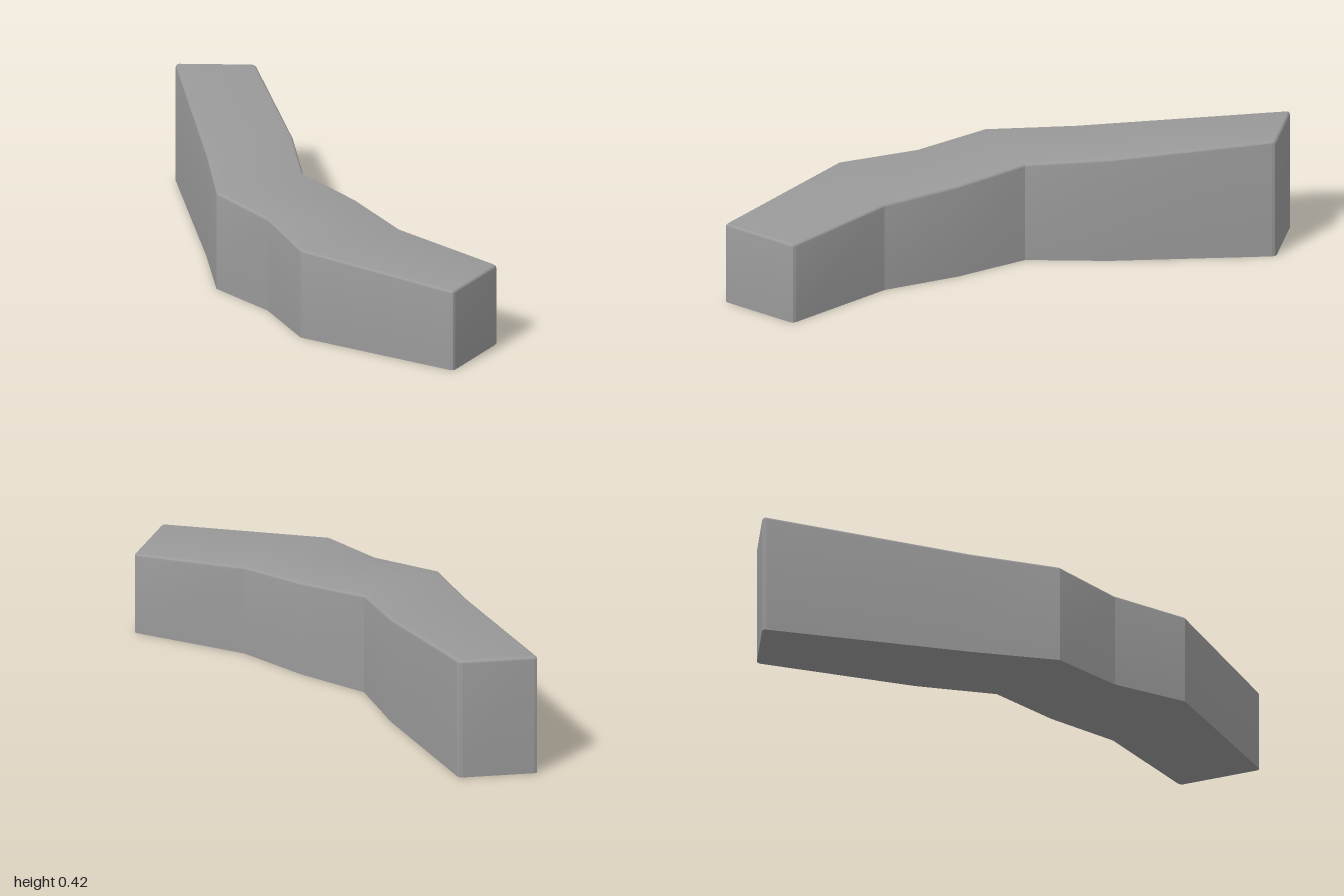
import * as THREE from 'three';
import { toCreasedNormals } from 'three/addons/utils/BufferGeometryUtils.js';

// Plan corners [x, z, top height]: left side back to front, then right side front to back
const PLAN = [
  [0.1, -1.004, 0.42], [-0.19, -0.34, 0.365], [-0.322, -0.065, 0.347],
  [-0.283, 0.2, 0.331], [-0.322, 0.47, 0.315], [-0.05, 1.004, 0.285],
  [0.212, 0.865, 0.285], [0.072, 0.47, 0.312], [0.064, 0.2, 0.331],
  [0.022, -0.065, 0.35], [0.14, -0.32, 0.371], [0.325, -0.853, 0.42],
];
const END_CORNERS = [0, 5, 6, 11];
const BEVEL = 0.012, TRIM = 0.014, STEPS = 4;

// Round the four vertical edges at the ends of the wall
function roundedPlan() {
  const points = [];
  PLAN.forEach(([x, z, h], i) => {
    const p = new THREE.Vector2(x, z);
    if (!END_CORNERS.includes(i)) return points.push({ p, h });
    const toward = (j) => {
      const [qx, qz] = PLAN[(j + PLAN.length) % PLAN.length];
      return new THREE.Vector2(qx, qz).sub(p).setLength(TRIM).add(p);
    };
    const arc = new THREE.QuadraticBezierCurve(toward(i - 1), p, toward(i + 1));
    arc.getPoints(2).forEach((q) => points.push({ p: q, h }));
  });
  return points;
}

function wallGeometry() {
  const plan = roundedPlan(), n = plan.length;
  const edgeNormal = (a, b) => new THREE.Vector2(a.y - b.y, b.x - a.x).normalize();
  const miters = plan.map(({ p }, i) => {
    const n1 = edgeNormal(plan[(i + n - 1) % n].p, p);
    const n2 = edgeNormal(p, plan[(i + 1) % n].p);
    const m = n1.clone().add(n2).normalize();
    return m.divideScalar(m.dot(n1));
  });

  const positions = [], index = [];
  const addRing = (inset, height) => plan.forEach(({ p, h }, i) =>
    positions.push(p.x - miters[i].x * inset, height(h), p.y - miters[i].y * inset));

  // Sharp base ring, then a quarter-round bevel up to the top
  addRing(0, () => 0);
  for (let s = 0; s <= STEPS; s++) {
    const a = (s / STEPS) * Math.PI / 2;
    addRing(BEVEL * (1 - Math.cos(a)), (h) => h - BEVEL * (1 - Math.sin(a)));
  }
  const quad = (a, b, c, d) => index.push(a, b, c, a, c, d);
  for (let r = 0; r <= STEPS; r++) {
    for (let i = 0; i < n; i++) {
      const j = (i + 1) % n;
      quad(r * n + i, r * n + j, (r + 1) * n + j, (r + 1) * n + i);
    }
  }
  // Top and underside as strips across the two long sides
  const top = (STEPS + 1) * n;
  for (let i = 0; i < n / 2 - 1; i++) {
    const k = n - 1 - i;
    quad(top + i, top + i + 1, top + k - 1, top + k);
    quad(k, k - 1, i + 1, i);
  }
  const geometry = new THREE.BufferGeometry();
  geometry.setAttribute('position', new THREE.Float32BufferAttribute(positions, 3));
  geometry.setIndex(index);
  return toCreasedNormals(geometry, 0.25);
}

export function createModel() {
  const group = new THREE.Group();
  const grey = new THREE.MeshStandardMaterial({ color: 0x999999 });
  grey.name = 'grey';
  const wall = new THREE.Mesh(wallGeometry(), grey);
  wall.name = 'curvedWall';
  group.add(wall);
  return group;
}
